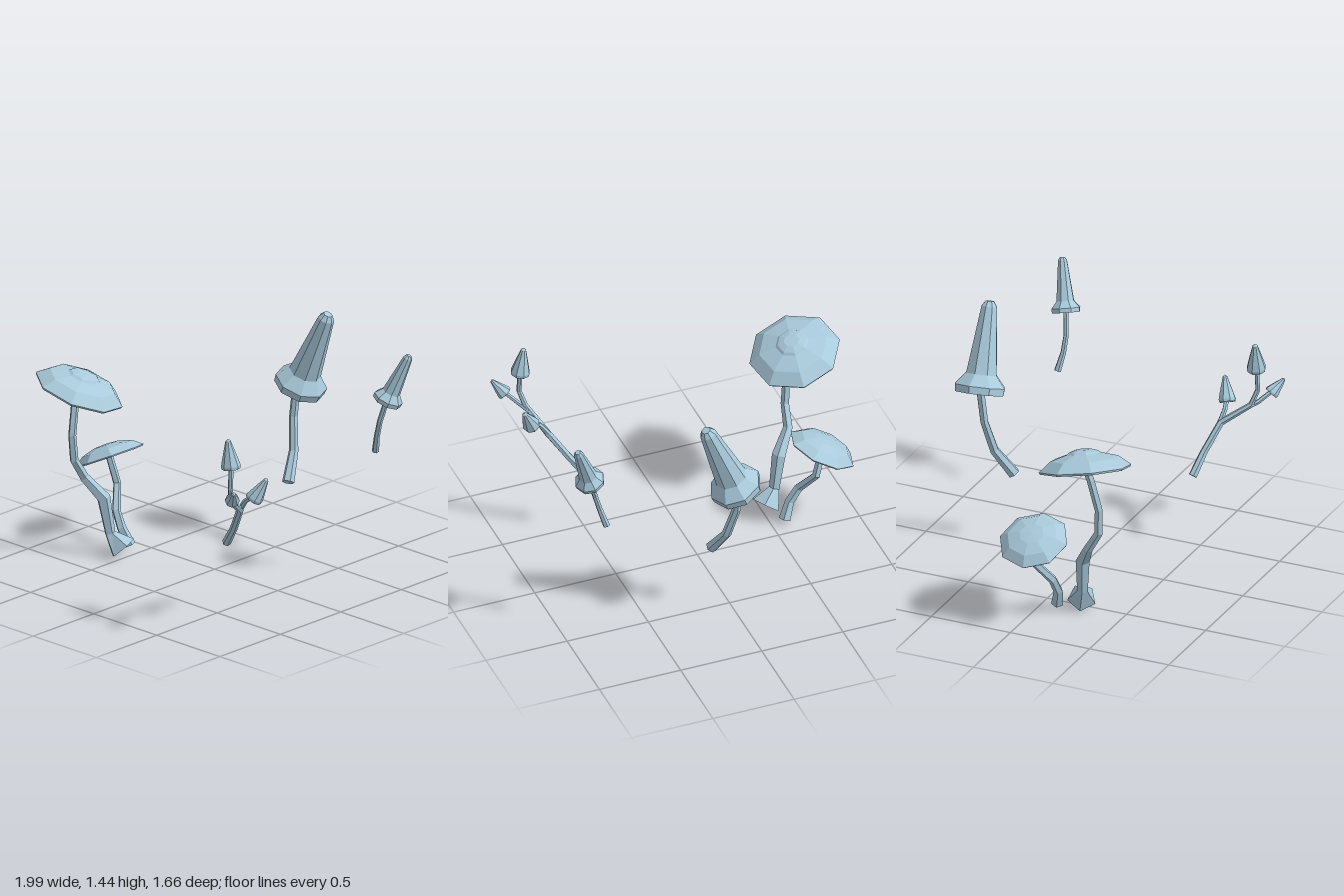
import * as THREE from 'three';

const paleBlue = new THREE.MeshStandardMaterial({ color: 0xa9cadb });
paleBlue.name = 'paleBlue';
const UP = new THREE.Vector3(0, 1, 0);

// Faceted mesh: unshared vertices give one normal per face
function facet(geometry, name) {
  const geo = geometry.index ? geometry.toNonIndexed() : geometry;
  geo.computeVertexNormals();
  const mesh = new THREE.Mesh(geo, paleBlue);
  mesh.name = name;
  return mesh;
}

// Stem swept through points [x, y, z, radius], listed from bottom to top
function stem(name, path, sides = 6) {
  const pts = path.map(p => new THREE.Vector3(p[0], p[1], p[2]));
  const pos = [], index = [];
  const last = pts.length - 1;
  pts.forEach((p, i) => {
    const dir = pts[Math.min(i + 1, last)].clone().sub(pts[Math.max(i - 1, 0)]).normalize();
    const turn = new THREE.Quaternion().setFromUnitVectors(UP, dir);
    for (let j = 0; j < sides; j++) {
      const a = j / sides * Math.PI * 2;
      const v = new THREE.Vector3(Math.sin(a), 0, Math.cos(a)).multiplyScalar(path[i][3]);
      v.applyQuaternion(turn).add(p);
      pos.push(v.x, v.y, v.z);
    }
  });
  for (let i = 0; i < last; i++) {
    for (let j = 0; j < sides; j++) {
      const k = (j + 1) % sides;
      const a = i * sides + j, b = i * sides + k;
      index.push(a, b, b + sides, a, b + sides, a + sides);
    }
  }
  // end faces
  for (let j = 1; j < sides - 1; j++) {
    const t = last * sides;
    index.push(0, j + 1, j, t, t + j, t + j + 1);
  }
  const geo = new THREE.BufferGeometry();
  geo.setAttribute('position', new THREE.Float32BufferAttribute(pos, 3));
  geo.setIndex(index);
  return facet(geo, name);
}

// Cap turned from a profile of [radius, height], running from the underside to the tip
function cap(name, profile, centre, axis, phase = 0, sides = 8) {
  const pts = profile.map(p => new THREE.Vector2(p[0], p[1]));
  const geo = new THREE.LatheGeometry(pts, sides, THREE.MathUtils.degToRad(phase));
  const mesh = facet(geo, name);
  mesh.position.set(...centre);
  mesh.quaternion.setFromUnitVectors(UP, new THREE.Vector3(...axis).normalize());
  return mesh;
}

// Tall bell with a flared rim; r is the rim radius, h the height
function bellProfile(r, h) {
  return [[0, 0.14 * h], [0.7 * r, 0.08 * h], [0.86 * r, 0], [0.97 * r, 0], [r, 0.08 * h],
    [0.61 * r, 0.21 * h], [0.31 * r, 0.94 * h], [0.17 * r, h], [0, h]];
}

// Small pointed cap with a hollow underside
function budProfile(r, h) {
  return [[0, 0.15 * h], [0.7 * r, 0.08 * h], [0.8 * r, 0], [0.94 * r, 0], [r, 0.1 * h],
    [0.82 * r, 0.32 * h], [0.27 * r, 0.93 * h], [0, h]];
}

// Cap placed between its rim centre and its tip
function capBetween(name, makeProfile, r, from, to) {
  const axis = to.map((v, i) => v - from[i]);
  return cap(name, makeProfile(r, Math.hypot(...axis)), from, axis);
}

function group(name, ...parts) {
  const g = new THREE.Group();
  g.name = name;
  g.add(...parts);
  return g;
}

export function createModel() {
  const model = new THREE.Group();
  model.name = 'mushrooms';

  // Large flat mushroom with a flared foot
  model.add(group('largeFlatMushroom',
    stem('largeFlatStem', [
      [-0.515, 0.05, 0.225, 0.085], [-0.58, 0.135, 0.26, 0.032], [-0.615, 0.345, 0.278, 0.042],
      [-0.70, 0.47, 0.35, 0.029], [-0.71, 0.59, 0.422, 0.026], [-0.72, 0.74, 0.428, 0.024],
      [-0.738, 0.93, 0.385, 0.024], [-0.74, 1.02, 0.352, 0.026]], 5),
    cap('largeFlatCap', [
      [0, 0.03], [0.215, 0.012], [0.235, -0.008], [0.262, -0.008], [0.268, 0.004],
      [0.2, 0.06], [0.098, 0.09], [0.084, 0.102], [0.045, 0.114], [0, 0.114]],
    [-0.74, 0.993, 0.35], [0.278, 1, -0.222], 33.5)));

  // Small flat mushroom beside it
  model.add(group('smallFlatMushroom',
    stem('smallFlatStem', [
      [-0.58, 0.02, 0.10, 0.036], [-0.62, 0.12, 0.125, 0.028], [-0.67, 0.21, 0.115, 0.026],
      [-0.745, 0.335, 0.03, 0.024], [-0.795, 0.51, 0.05, 0.022]], 5),
    cap('smallFlatCap', [
      [0, 0.022], [0.165, 0.01], [0.178, -0.005], [0.2, -0.005], [0.205, 0.003],
      [0.15, 0.046], [0.072, 0.068], [0, 0.073]],
    [-0.787, 0.495, 0.047], [-0.5, 1, 0], 5)));

  // Tall bell mushroom
  model.add(group('tallBellMushroom',
    stem('tallBellStem', [
      [0.108, 0.42, -0.495, 0.036], [0.055, 0.57, -0.595, 0.028],
      [0.012, 0.76, -0.638, 0.025], [0.015, 1.0, -0.67, 0.025]]),
    capBetween('tallBellCap', bellProfile, 0.155, [0.022, 0.93, -0.675], [0.225, 1.422, -0.702])));

  // Small bell mushroom
  model.add(group('smallBellMushroom',
    stem('smallBellStem', [
      [0.768, 0.775, -0.528, 0.021], [0.80, 0.88, -0.507, 0.017],
      [0.828, 0.98, -0.502, 0.016], [0.87, 1.13, -0.523, 0.016]]),
    capBetween('smallBellCap', bellProfile, 0.088, [0.865, 1.105, -0.52], [0.972, 1.395, -0.594])));

  // Branching stem with three pointed caps
  model.add(group('branchingMushroom',
    stem('mainBranch', [
      [0.518, 0.415, 0.442, 0.026], [0.605, 0.535, 0.472, 0.022], [0.71, 0.69, 0.53, 0.021],
      [0.785, 0.80, 0.685, 0.017], [0.812, 0.89, 0.716, 0.015], [0.81, 1.05, 0.708, 0.014]]),
    stem('frontBranch', [
      [0.77, 0.775, 0.65, 0.015], [0.82, 0.81, 0.715, 0.014], [0.885, 0.865, 0.775, 0.013]]),
    stem('backBranch', [
      [0.70, 0.68, 0.525, 0.017], [0.755, 0.755, 0.535, 0.015], [0.82, 0.81, 0.52, 0.014]]),
    capBetween('tallPointedCap', budProfile, 0.057, [0.81, 1.015, 0.708], [0.785, 1.192, 0.71]),
    capBetween('frontPointedCap', budProfile, 0.043, [0.875, 0.85, 0.768], [0.942, 0.928, 0.825]),
    capBetween('backPointedCap', budProfile, 0.052, [0.81, 0.775, 0.525], [0.875, 0.91, 0.478])));

  return model;
}
